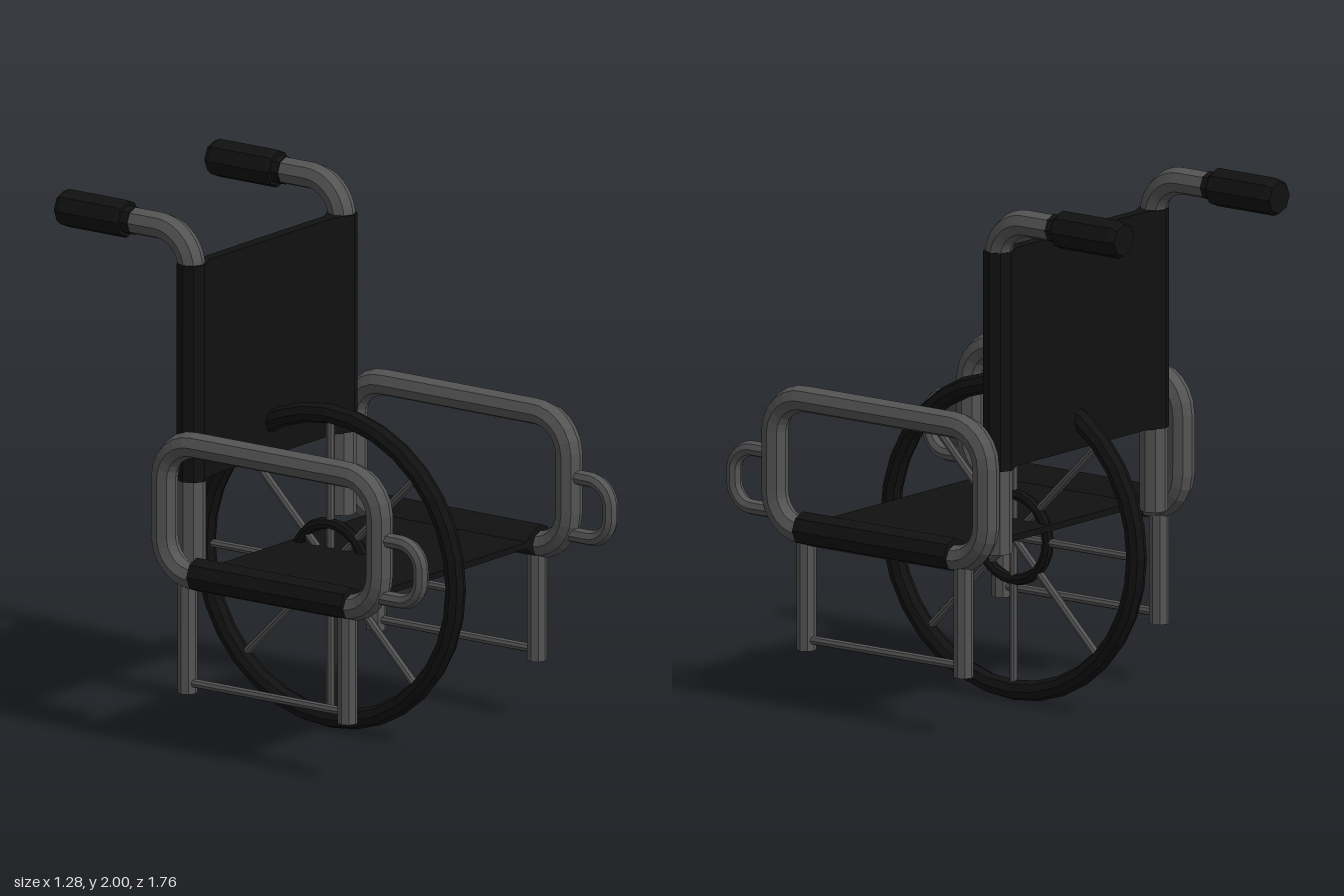
import * as THREE from 'three';

const metal = new THREE.MeshStandardMaterial({ color: 0x555555, flatShading: true });
const black = new THREE.MeshStandardMaterial({ color: 0x111111, flatShading: true });

const SIDE_X = 0.575, POST_X = 0.457, POST_Z = -0.292;
const v = (x, y, z) => new THREE.Vector3(x, y, z);

function add(parent, name, geometry, material) {
  const mesh = new THREE.Mesh(geometry, material);
  mesh.name = name;
  parent.add(mesh);
  return mesh;
}

// Straight round bar between two points
function bar(parent, name, a, b, radius, sides = 8, material = metal) {
  const mesh = add(parent, name, new THREE.CylinderGeometry(radius, radius, a.distanceTo(b), sides), material);
  mesh.position.copy(a).lerp(b, 0.5);
  mesh.quaternion.setFromUnitVectors(v(0, 1, 0), b.clone().sub(a).normalize());
  return mesh;
}

// Bent pipe through the given corners, each rounded by the bend radius
function pipe(parent, name, pts, bend, radius, segments, closed = false) {
  const path = new THREE.CurvePath();
  const n = pts.length;
  const toward = (a, b, d) => a.clone().add(b.clone().sub(a).setLength(d));
  const first = closed ? toward(pts[0], pts[1], bend) : pts[0];
  let from = first;
  for (let i = 1; i < (closed ? n + 1 : n - 1); i++) {
    const p = pts[i % n];
    const s = toward(p, pts[i - 1], bend), e = toward(p, pts[(i + 1) % n], bend);
    path.add(new THREE.LineCurve3(from, s));
    path.add(new THREE.CubicBezierCurve3(s, s.clone().lerp(p, 0.55), e.clone().lerp(p, 0.55), e));
    from = e;
  }
  if (!closed) path.add(new THREE.LineCurve3(from, pts[n - 1]));
  return add(parent, name, new THREE.TubeGeometry(path, segments, radius, 8, closed), metal);
}

// Fabric panel: thin sheet flaring into an eight-sided sleeve at each edge
function slingGeometry(halfWidth, radius, halfThickness, length) {
  const right = [[halfWidth - radius * 1.4, -halfThickness]];
  for (let i = -3; i <= 3; i++) {
    const a = i * Math.PI / 4;
    right.push([halfWidth + radius * Math.cos(a), radius * Math.sin(a)]);
  }
  right.push([halfWidth - radius * 1.4, halfThickness]);
  const left = right.map(([x, y]) => [-x, -y]);
  const shape = new THREE.Shape([...right, ...left].map(([x, y]) => new THREE.Vector2(x, y)));
  return new THREE.ExtrudeGeometry(shape, { depth: length, bevelEnabled: false });
}

export function createModel() {
  const chair = new THREE.Group();
  chair.name = 'wheelchair';

  // Seat and backrest
  add(chair, 'seat', slingGeometry(SIDE_X, 0.063, 0.012, 0.71), black).position.set(0, 0.673, -0.18);
  const back = add(chair, 'backrest', slingGeometry(POST_X - 0.002, 0.058, 0.022, 0.82), black);
  back.rotation.x = -Math.PI / 2;
  back.position.set(0, 0.99, POST_Z);

  for (const s of [1, -1]) {
    const side = new THREE.Group();
    side.name = s > 0 ? 'leftSide' : 'rightSide';
    chair.add(side);
    const x = s * SIDE_X, px = s * POST_X;

    // Armrest loop and the small front hoop
    pipe(side, 'armrestLoop', [v(x, 0.66, 0.66), v(x, 1.16, 0.66), v(x, 1.16, -0.327), v(x, 0.66, -0.327)],
      0.14, 0.05, 72, true);
    pipe(side, 'frontHoop', [v(x, 0.94, 0.67), v(x, 0.94, 0.85), v(x, 0.72, 0.85), v(x, 0.72, 0.67)],
      0.09, 0.029, 30);

    // Legs with a brace between them
    bar(side, 'frontLeg', v(x, 0.22, 0.513), v(x, 0.65, 0.513), 0.037);
    bar(side, 'rearLeg', v(x, 0.22, -0.223), v(x, 0.65, -0.223), 0.037);
    bar(side, 'legBrace', v(x, 0.26, 0.513), v(x, 0.26, -0.223), 0.017);

    // Back post, bent push handle and grip
    bar(side, 'backPost', v(px, 0.675, POST_Z), v(px, 1.7, POST_Z), 0.052);
    pipe(side, 'pushHandle', [v(px, 1.7, POST_Z), v(px, 1.929, POST_Z), v(px, 1.929, -0.6)], 0.14, 0.051, 28);
    const profile = [[0, 0], [0.054, 0], [0.054, 0.035], [0.066, 0.035], [0.072, 0.045],
      [0.072, 0.305], [0.06, 0.33], [0, 0.33]].map(([r, y]) => new THREE.Vector2(r, y));
    const grip = add(side, 'grip', new THREE.LatheGeometry(profile, 8), black);
    grip.rotation.x = -Math.PI / 2;
    grip.position.set(px, 1.929, -0.55);
  }

  // Central wheel: tyre, inner ring and eight spokes
  const wheel = new THREE.Group();
  wheel.name = 'wheel';
  wheel.position.y = 0.615;
  chair.add(wheel);
  add(wheel, 'tyre', new THREE.TorusGeometry(0.575, 0.038, 8, 32), black).rotation.y = Math.PI / 2;
  add(wheel, 'innerRing', new THREE.TorusGeometry(0.16, 0.022, 8, 24), black).rotation.y = Math.PI / 2;
  for (let i = 0; i < 8; i++) {
    const a = i * Math.PI / 4;
    bar(wheel, 'spoke', v(0, 0, 0), v(0, 0.57 * Math.sin(a), 0.57 * Math.cos(a)), 0.016);
  }
  return chair;
}
